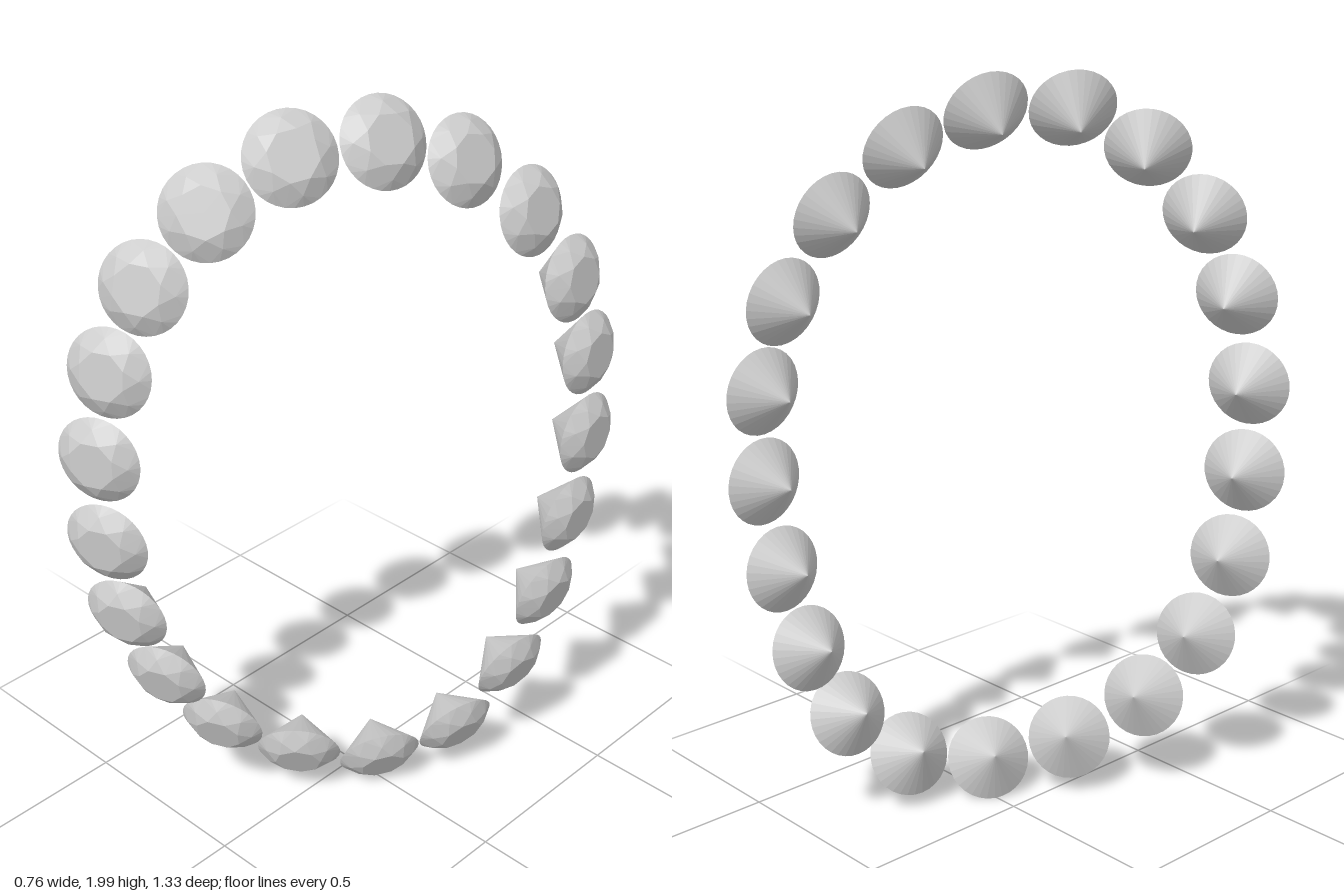
import * as THREE from 'three';

const V = (p) => new THREE.Vector3(...p);

// Round brilliant-cut gem: girdle in the plane y = 0, table towards +y, point towards -y
function gemGeometry(radius = 0.114) {
  const SIDES = 8, PER = 4, N = SIDES * PER;
  const at = (r, y, turn) => [r * Math.cos(turn * 2 * Math.PI), y, r * Math.sin(turn * 2 * Math.PI)];
  const table = (i) => at(radius * 0.55, 0.04, i / SIDES);
  const kite = (i) => at(radius * 0.8, 0.023, (i + 0.5) / SIDES);
  const girdle = (j) => at(radius, 0, j / N);
  const pos = [];
  const tri = (...corners) => corners.forEach((c) => pos.push(...c));

  for (let i = 0; i < SIDES; i++) {
    tri([0, 0.04, 0], table(i + 1), table(i)); // table
    tri(table(i), table(i + 1), kite(i)); // star facet
    tri(table(i), kite(i), girdle(i * PER)); // two halves of the kite facet
    tri(table(i), girdle(i * PER), kite(i - 1));
    for (let j = i * PER; j < (i + 1) * PER; j++) {
      tri(kite(i), girdle(j + 1), girdle(j)); // upper girdle facets
      tri([0, -0.106, 0], girdle(j), girdle(j + 1)); // pointed underside
    }
  }
  const geo = new THREE.BufferGeometry();
  geo.setAttribute('position', new THREE.Float32BufferAttribute(pos, 3));
  geo.computeVertexNormals();
  return geo;
}

// Girdle centres around the loop, from the top down the back and up the front
const CENTRES = [
  [0.09, 1.9, -0.01], [0.172, 1.82, -0.21], [0.25, 1.663, -0.375], [0.3, 1.456, -0.495],
  [0.325, 1.233, -0.55], [0.335, 0.995, -0.55], [0.326, 0.751, -0.512], [0.308, 0.517, -0.45],
  [0.28, 0.305, -0.35], [0.222, 0.152, -0.187], [0.12, 0.108, 0.015], [-0.013, 0.157, 0.2],
  [-0.14, 0.275, 0.365], [-0.225, 0.455, 0.48], [-0.268, 0.677, 0.562], [-0.273, 0.915, 0.603],
  [-0.273, 1.158, 0.608], [-0.24, 1.4, 0.583], [-0.183, 1.615, 0.51], [-0.093, 1.79, 0.385],
  [0.0, 1.897, 0.205],
];

// Facing direction at every third gem, blended smoothly in between
const FACING = new THREE.CatmullRomCurve3([
  [0.85, 0.45, 0.25], [0.98, 0.15, -0.03], [0.99, -0.1, -0.03], [0.87, -0.43, 0.23],
  [0.42, -0.35, 0.84], [0.37, -0.07, 0.93], [0.42, 0.28, 0.86],
].map(V), true, 'catmullrom', 0.5);

export function createModel() {
  const group = new THREE.Group();
  group.name = 'gemLoop';
  const geo = gemGeometry();
  const mat = new THREE.MeshStandardMaterial({ color: 0xcccccc, flatShading: true });
  const up = new THREE.Vector3(0, 1, 0);

  CENTRES.forEach((c, i) => {
    const gem = new THREE.Mesh(geo, mat);
    gem.name = `gem${i + 1}`;
    gem.position.set(...c);
    gem.quaternion.setFromUnitVectors(up, FACING.getPoint(i / CENTRES.length).normalize());
    group.add(gem);
  });
  return group;
}
